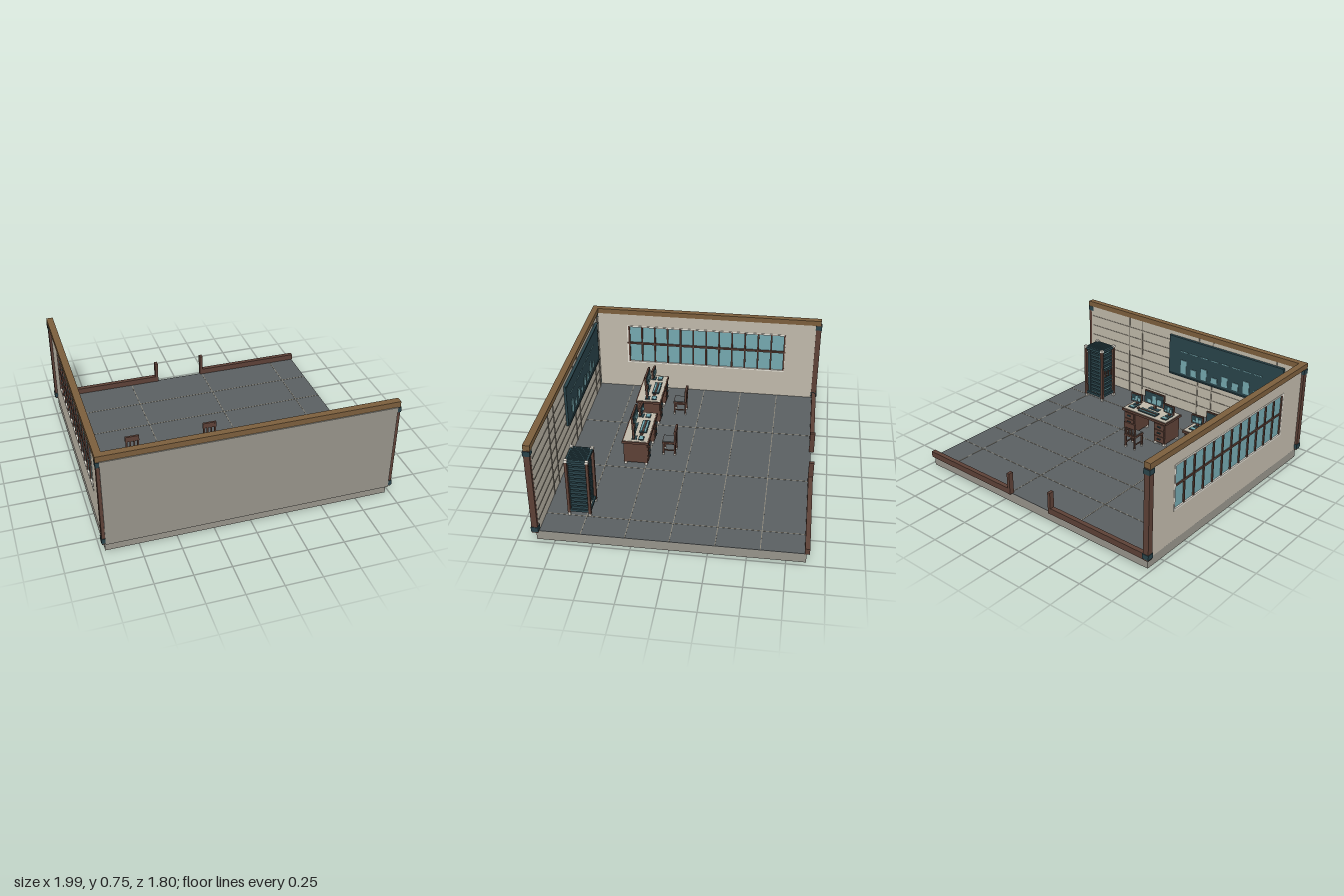
import * as THREE from 'three';

const mat = (name, color, side = THREE.FrontSide) => {
  const m = new THREE.MeshStandardMaterial({ color, side });
  m.name = name;
  return m;
};

export function createModel() {
  const concrete = mat('concrete', 0x96938a);
  const cream = mat('cream plaster', 0xbfb8a9);
  const slate = mat('slate floor', 0x5a5f61);
  const grout = mat('grout', 0x8d887b);
  const oak = mat('oak', 0x7b5e3c);
  const wood = mat('dark wood', 0x5c4036);
  const teal = mat('dark teal', 0x29434a);
  const glass = mat('pale teal glass', 0x74a7ae);
  const white = mat('off white', 0xe2ded4);

  const root = new THREE.Group();
  root.name = 'officeRoom';
  const group = (name, parent = root, x = 0, y = 0, z = 0) => {
    const g = new THREE.Group();
    g.name = name;
    g.position.set(x, y, z);
    parent.add(g);
    return g;
  };
  // Box given by its minimum and maximum corners
  const box = (parent, name, m, x0, x1, y0, y1, z0, z1) => {
    const mesh = new THREE.Mesh(new THREE.BoxGeometry(x1 - x0, y1 - y0, z1 - z0), m);
    mesh.position.set((x0 + x1) / 2, (y0 + y1) / 2, (z0 + z1) / 2);
    mesh.name = name;
    parent.add(mesh);
    return mesh;
  };

  // Foundation slab and tiled floor
  const F = 0.07;
  box(root, 'foundation', concrete, -0.97, 0.97, 0, F - 0.003, -0.878, 0.872);
  box(root, 'floor', slate, -0.97, 0.97, F - 0.003, F, -0.878, 0.872);
  const joints = group('floorJoints');
  for (const z of [-0.585, -0.295, 0, 0.29, 0.58])
    box(joints, 'joint', grout, -0.95, 0.97, F, F + 0.0015, z - 0.0025, z + 0.0025);
  for (const x of [-0.385, 0.197, 0.78])
    box(joints, 'joint', grout, x - 0.0025, x + 0.0025, F, F + 0.0015, -0.865, 0.85);

  // Front wall with outer cladding and plank seams inside
  const frontWall = group('frontWall');
  box(frontWall, 'plaster', cream, -0.97, 0.97, F, 0.71, 0.852, 0.89);
  box(frontWall, 'cladding', concrete, -0.968, 0.972, F, 0.711, 0.89, 0.9);
  for (let i = 1; i < 8; i++)
    box(frontWall, 'seam', grout, -0.945, 0.955, F + i * 0.08 - 0.003, F + i * 0.08 + 0.003, 0.849, 0.852);
  for (const x of [0.57, 0.44, -0.1, -0.23, -0.77, -0.9])
    box(frontWall, 'seam', grout, x - 0.005, x + 0.005, F, 0.71, 0.848, 0.852);

  // Side wall with a long window opening
  const sideWall = group('sideWall');
  const [wy0, wy1, wz0, wz1] = [0.288, 0.615, -0.632, 0.622];
  box(sideWall, 'below', cream, -0.972, -0.95, F, wy0, -0.88, 0.852);
  box(sideWall, 'above', cream, -0.972, -0.95, wy1, 0.71, -0.88, 0.852);
  box(sideWall, 'backEnd', cream, -0.972, -0.95, wy0, wy1, -0.88, wz0);
  box(sideWall, 'frontEnd', cream, -0.972, -0.95, wy0, wy1, wz1, 0.852);
  const win = group('window');
  const t = 0.012;
  box(win, 'pane', glass, -0.963, -0.959, wy0, wy1, wz0, wz1);
  box(win, 'sill', white, -0.974, -0.947, wy0, wy0 + t, wz0, wz1);
  box(win, 'head', white, -0.974, -0.947, wy1 - t, wy1, wz0, wz1);
  box(win, 'jamb', white, -0.974, -0.947, wy0 + t, wy1 - t, wz0, wz0 + t);
  box(win, 'jamb', white, -0.974, -0.947, wy0 + t, wy1 - t, wz1 - t, wz1);
  for (let i = 0; i < 13; i++) {
    const z = 0.605 - i * 0.1025;
    box(win, 'mullion', wood, -0.972, -0.945, wy0 + t, wy1 - 0.004, z - 0.006, z + 0.006);
  }
  box(win, 'crossbar', wood, -0.971, -0.944, 0.455, 0.468, wz0 - 0.004, wz1);

  // Oak beams on top of both walls
  box(root, 'frontBeam', oak, -0.992, 0.992, 0.711, 0.75, 0.847, 0.893);
  box(root, 'sideBeam', oak, -0.992, -0.945, 0.711, 0.75, -0.897, 0.847);

  // Corner posts with metal collars
  for (const [x, z] of [[-0.969, 0.873], [0.974, 0.873], [-0.969, -0.88]]) {
    const p = group('cornerPost', root, x, 0, z);
    box(p, 'post', wood, -0.02, 0.02, F, 0.711, -0.02, 0.02);
    for (const y of [0.08, 0.672])
      box(p, 'collar', teal, -0.024, 0.024, y, y + 0.035, -0.024, 0.024);
  }

  // Low back rails either side of the entrance
  for (const [a, b, post] of [[-0.95, -0.17, -0.19], [0.18, 0.975, 0.18]]) {
    const r = group('backRail');
    box(r, 'rail', wood, a, b, F, 0.113, -0.898, -0.866);
    box(r, 'entrancePost', wood, post, post + 0.022, F, 0.23, -0.9, -0.864);
  }

  // Wall board with a bar chart
  const board = group('wallBoard');
  box(board, 'panel', teal, -0.84, 0.16, 0.36, 0.68, 0.834, 0.85);
  for (const y of [0.36, 0.67])
    box(board, 'trim', teal, -0.83, 0.15, y, y + 0.01, 0.828, 0.834);
  const heights = [0.11, 0.055, 0.09, 0.045, 0.08, 0.06, 0.1, 0.05];
  heights.forEach((h, i) => {
    const x = 0.02 - i * 0.094;
    box(board, 'chartBar', glass, x - 0.026, x + 0.026, 0.39, 0.39 + h, 0.83, 0.834);
    box(board, 'chartDash', glass, x - 0.034, x + 0.034, 0.567, 0.573, 0.83, 0.834);
  });

  // Equipment rack
  const rack = group('rack', root, 0.693, F, 0.626);
  for (const sx of [-1, 1]) for (const sz of [-1, 1]) {
    const p = group('rackPost', rack, sx * 0.083, 0, sz * 0.07);
    box(p, 'foot', white, -0.008, 0.008, 0, 0.022, -0.008, 0.008);
    box(p, 'upright', wood, -0.01, 0.01, 0.022, 0.43, -0.009, 0.009);
    box(p, 'cap', white, -0.011, 0.011, 0.425, 0.443, -0.011, 0.011);
  }
  for (const y of [0.03, 0.415]) {
    for (const s of [-1, 1]) {
      box(rack, 'endRail', teal, s * 0.083 - 0.006, s * 0.083 + 0.006, y, y + 0.018, -0.07, 0.07);
      box(rack, 'sideRail', teal, -0.083, 0.083, y, y + 0.018, s * 0.07 - 0.006, s * 0.07 + 0.006);
    }
  }
  for (const s of [-1, 1]) for (const x of [-0.058, 0.058])
    box(rack, 'sideStrip', teal, x - 0.012, x + 0.012, 0.035, 0.42, s * 0.058 - 0.004, s * 0.058 + 0.004);
  for (let i = 0; i < 12; i++) {
    const y = 0.045 + i * 0.0315;
    box(rack, 'unit', teal, -0.078, 0.078, y, y + 0.021, -0.056, 0.056);
    if (i % 2) box(rack, 'unitLight', glass, -0.081, -0.078, y + 0.007, y + 0.013, -0.04, 0.02);
  }
  for (let i = 0; i < 10; i++)
    box(rack, 'topSlat', teal, -0.077 + i * 0.0158, -0.066 + i * 0.0158, 0.42, 0.43, -0.066, 0.066);
  for (const z of [-0.035, 0, 0.035])
    box(rack, 'handle', wood, -0.094, -0.084, 0.2, 0.25, z - 0.004, z + 0.004);

  // Monitor facing the chair
  const monitor = (desk, x, z, w, y0, y1, turn) => {
    const m = group('monitor', desk, x, 0.2, z);
    m.rotation.y = turn;
    box(m, 'base', teal, -w * 0.25, w * 0.25, 0, 0.006, -0.018, 0.018);
    box(m, 'stem', wood, -0.008, 0.008, 0.006, y0 + 0.03, 0, 0.012);
    const head = group('head', m, 0, y0, 0);
    head.rotation.x = 0.06;
    const h = y1 - y0;
    box(head, 'shell', wood, -w / 2, w / 2, 0, h, -0.007, 0.007);
    box(head, 'screen', teal, -w / 2 + 0.007, w / 2 - 0.007, 0.007, h - 0.007, -0.01, -0.007);
    for (let i = 0; i < 3; i++) {
      const a = w * (-0.36 + i * 0.25);
      box(head, 'readout', glass, a, a + w * 0.19, 0.015, h * (0.4 + 0.18 * ((i + 1) % 3)), -0.012, -0.01);
    }
  };

  // Desk with drawers, and its equipment
  const makeDesk = (cx) => {
    const d = group('desk', root, cx, F, 0.361);
    box(d, 'top', wood, -0.203, 0.203, 0.182, 0.199, -0.096, 0.096);
    box(d, 'topInlay', cream, -0.195, 0.195, 0.199, 0.202, -0.087, 0.087);
    box(d, 'backPanel', wood, -0.1, 0.1, 0.08, 0.182, 0.07, 0.08);
    for (const s of [-1, 1]) {
      const p = group('pedestal', d, s * 0.14, 0, 0);
      box(p, 'cabinet', wood, -0.05, 0.05, 0.02, 0.182, -0.084, 0.088);
      for (const fx of [-0.04, 0.04]) for (const fz of [-0.072, 0.076])
        box(p, 'foot', white, fx - 0.009, fx + 0.009, 0, 0.02, fz - 0.009, fz + 0.009);
      for (let i = 0; i < 3; i++) {
        const y = 0.03 + i * 0.05;
        box(p, 'drawer', wood, -0.043, 0.043, y, y + 0.043, -0.09, -0.084);
        box(p, 'handle', teal, -0.014, 0.014, y + 0.018, y + 0.026, -0.098, -0.09);
      }
      // Small tablet and side monitor
      box(d, 'tablet', teal, s * 0.15 - 0.025, s * 0.15 + 0.025, 0.202, 0.208, -0.055, -0.018);
      box(d, 'tabletScreen', glass, s * 0.15 - 0.019, s * 0.15 + 0.019, 0.208, 0.21, -0.049, -0.024);
      monitor(d, s * 0.15, 0.014, 0.095, 0.025, 0.092, s * 0.08);
    }
    monitor(d, 0, 0.036, 0.18, 0.035, 0.137, 0);
    box(d, 'keyboard', teal, -0.08, 0.08, 0.202, 0.21, -0.062, -0.008);
    for (let i = 0; i < 3; i++)
      box(d, 'keyRow', i === 1 ? wood : glass, -0.073, 0.073, 0.21, 0.213, -0.055 + i * 0.016, -0.046 + i * 0.016);
    box(d, 'mouse', wood, 0.092, 0.106, 0.202, 0.212, -0.04, -0.02);
  };

  // Wooden chair
  const makeChair = (cx) => {
    const c = group('chair', root, cx, F, 0.145);
    for (const sx of [-1, 1]) for (const z of [-0.042, 0.042]) {
      const x = sx * 0.041;
      box(c, 'foot', white, x - 0.006, x + 0.006, 0, 0.012, z - 0.006, z + 0.006);
      box(c, 'leg', wood, x - 0.006, x + 0.006, 0.012, z < 0 ? 0.2 : 0.1, z - 0.006, z + 0.006);
    }
    box(c, 'seat', wood, -0.049, 0.049, 0.096, 0.11, -0.05, 0.05);
    box(c, 'cushion', slate, -0.043, 0.043, 0.11, 0.115, -0.036, 0.046);
    for (const s of [-1, 1])
      box(c, 'stretcher', wood, s * 0.041 - 0.004, s * 0.041 + 0.004, 0.035, 0.043, -0.04, 0.04);
    for (const x of [-0.041, -0.014, 0.014, 0.041])
      box(c, 'backSlat', wood, x - 0.005, x + 0.005, 0.11, 0.2, -0.05, -0.04);
    box(c, 'backRest', wood, -0.05, 0.05, 0.17, 0.21, -0.053, -0.038);
  };
  for (const x of [-0.588, -0.036]) makeDesk(x);
  for (const x of [-0.603, -0.042]) makeChair(x);

  return root;
}
